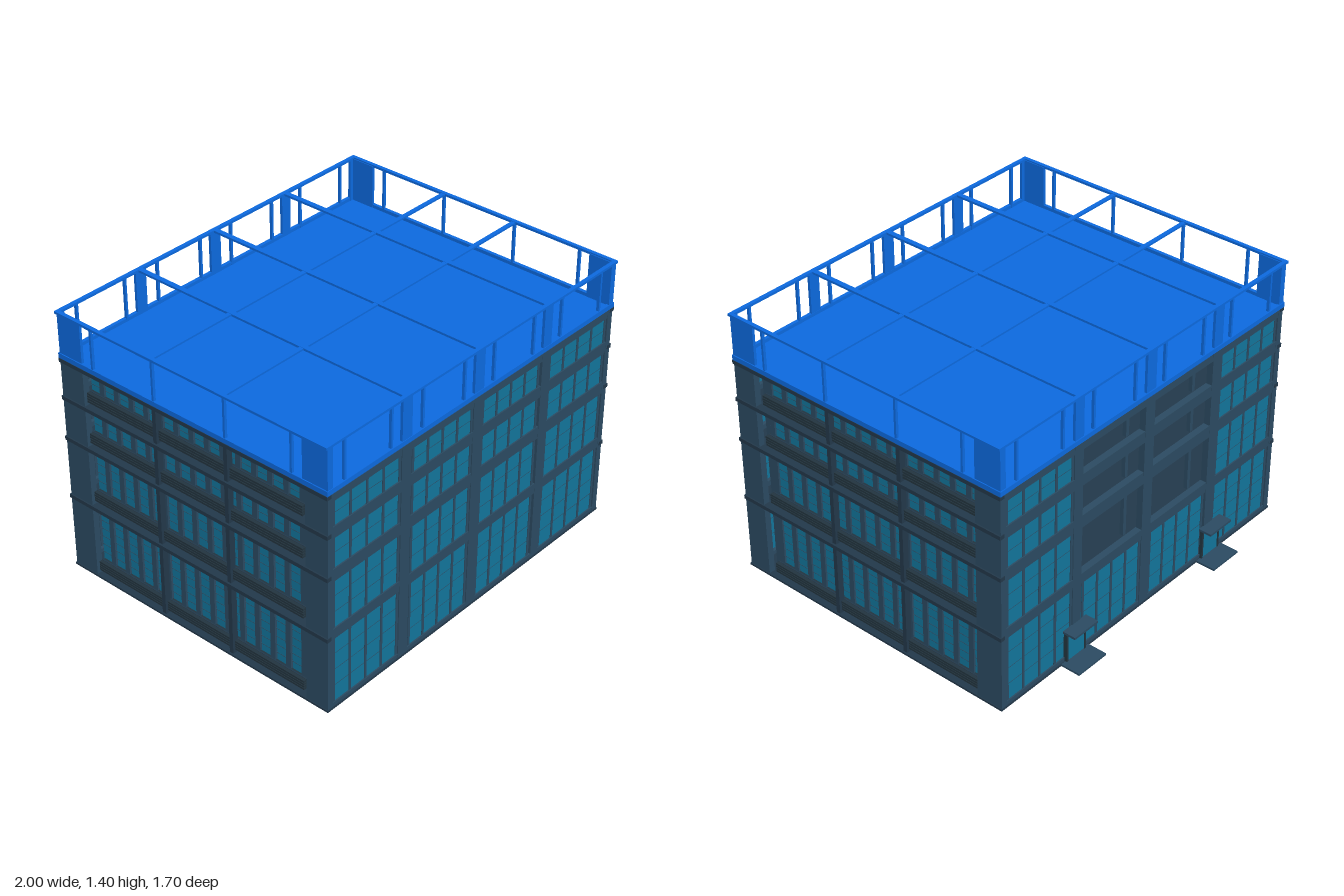
import * as THREE from 'three';

const mat = (color) => new THREE.MeshStandardMaterial({ color });
const wall = mat(0x2b4a61), trim = mat(0x22384a), dark = mat(0x22343f);
const glass = mat(0x12749a), blue = mat(0x0c69de);

// Outline of the building
const ZF = 0.845, ZB = -0.743, X = 0.99;
// Window sill and head of each storey, and the floor it stands on
const storeys = [
  { floor: 0.01, sill: 0.03, head: 0.385, rows: 4 },
  { floor: 0.412, sill: 0.44, head: 0.695, rows: 3 },
  { floor: 0.735, sill: 0.76, head: 0.92, rows: 2 },
  { floor: 0.955, sill: 0.98, head: 1.11, rows: 2 },
];
// Clear openings between the piers on the front and back
const bays = [[-0.953, -0.52], [-0.447, -0.035], [0.03, 0.445], [0.515, 0.953]];
const piers = [[-X, -0.957], [-0.52, -0.457], [-0.035, 0.03], [0.457, 0.515], [0.957, X]];
const crossZ = [0.265, -0.16];
const crossX = [-0.49, 0, 0.485];

function box(parent, name, material, x0, x1, y0, y1, z0, z1) {
  const mesh = new THREE.Mesh(new THREE.BoxGeometry(x1 - x0, y1 - y0, z1 - z0), material);
  mesh.position.set((x0 + x1) / 2, (y0 + y1) / 2, (z0 + z1) / 2);
  mesh.name = name;
  parent.add(mesh);
  return mesh;
}

function group(parent, name) {
  const g = new THREE.Group();
  g.name = name;
  parent.add(g);
  return g;
}

// Thin piers along front and back, with the corners turned into L shapes
function pierRow(parent, name, material, y0, y1, depth, frontLeg, backLeg) {
  piers.forEach(([x0, x1], i) => {
    box(parent, name, material, x0, x1, y0, y1, ZF - depth, ZF);
    box(parent, name, material, x0, x1, y0, y1, ZB, ZB + depth);
    if (i === 0 || i === 4) {
      const [a, b] = i === 0 ? [x0, x0 + depth] : [x1 - depth, x1];
      box(parent, name + 'Return', material, a, b, y0, y1, ZF - frontLeg, ZF - depth);
      box(parent, name + 'Return', material, a, b, y0, y1, ZB + depth, ZB + backLeg);
    }
  });
}

// Four-pane window with mullions and thin transoms, centred on depth z
function windowBay(parent, x0, x1, s, z) {
  const g = group(parent, 'window');
  const y0 = s.sill, y1 = s.head;
  box(g, 'glass', glass, x0, x1, y0, y1, z - 0.004, z + 0.004);
  for (let i = 0; i <= 4; i++) {
    const x = x0 + 0.007 + ((x1 - x0 - 0.014) * i) / 4;
    box(g, 'mullion', wall, x - 0.007, x + 0.007, y0, y1, z - 0.007, z + 0.007);
  }
  for (let i = 1; i < s.rows; i++) {
    const y = y0 + ((y1 - y0) * i) / s.rows;
    box(g, 'transom', wall, x0, x1, y - 0.001, y + 0.001, z - 0.005, z + 0.005);
  }
}

// Front or back wall: spandrel bands and windows
function longFacade(parent, name, isFront) {
  const g = group(parent, name);
  const outer = isFront ? ZF : ZB, dir = isFront ? -1 : 1;
  const span = (a, b) => [outer + dir * a, outer + dir * b].sort((p, q) => p - q);
  const edges = [0.01, ...storeys.flatMap((s) => [s.sill, s.head]), 1.155];
  for (let i = 0; i < edges.length; i += 2) {
    box(g, 'spandrel', wall, -0.958, 0.958, edges[i], edges[i + 1], ...span(0.001, 0.035));
  }
  storeys.forEach((s, level) => bays.forEach(([a, b], bay) => {
    const open = !isFront && level > 0 && (bay === 1 || bay === 2);
    if (!open) return windowBay(g, a, b, s, outer + dir * 0.012);
    // Open loggia bays keep only slim posts near each end
    for (const x of [a + 0.05, b - 0.05]) {
      box(g, 'loggiaPost', wall, x - 0.01, x + 0.01, s.floor, s.head + 0.02, ...span(0.06, 0.08));
    }
  }));
}

// Side wall: inset glazing strips, louvred rails and slender columns
function sideFacade(parent, name, side) {
  const g = group(parent, name);
  const sb = (n, m, x0, x1, ...r) => box(g, n, m, ...[side * x0, side * x1].sort((a, b) => a - b), ...r);
  storeys.forEach((s, level) => {
    const y0 = s.floor + 0.016, y1 = [0.39, 0.715, 0.935, 1.135][level];
    sb('backing', wall, 0.925, 0.935, y0, y1, -0.605, 0.725);
    sb('endPanel', trim, 0.915, 0.925, s.floor, y1, 0.61, 0.725);
    for (let i = 0; i < 14; i++) {
      const z = 0.652 - i * 0.092;
      sb('glassStrip', glass, 0.92, 0.94, y0 + 0.03, y1, z - 0.058, z);
      sb('fin', wall, 0.935, 0.948, y0, y1, z + 0.001, z + 0.03);
    }
    for (let i = 1; i < s.rows * 2; i++) {
      const y = y0 + ((y1 - y0) * i) / (s.rows * 2);
      sb('transom', wall, 0.935, 0.942, y - 0.001, y + 0.001, -0.605, 0.69);
    }
    for (let i = 0; i < 4; i++) {
      const y = s.floor + 0.016 + i * 0.0135;
      sb('louver', dark, 0.94, 0.974, y, y + 0.01, -0.6, 0.69);
    }
    sb('louverBack', trim, 0.95, 0.957, s.floor + 0.016, s.floor + 0.068, -0.6, 0.69);
  });
  // Ledges run the full depth and overlap the corner piers slightly
  for (const y of [0.39, 0.715, 0.935, 1.135]) {
    sb('ledge', trim, 0.92, 0.97, y, y + 0.02, ZB + 0.03, ZF - 0.03);
    sb('ledgeLip', trim, 0.97, 0.997, y, y + 0.02, ZB - 0.003, ZF + 0.003);
  }
  for (const z of crossZ) sb('column', trim, 0.955, 0.987, 0.01, 1.15, z - 0.011, z + 0.011);
}

// Ceiling beams in both directions below height y
function ceilingBeams(parent, y, material) {
  for (const x of crossX) box(parent, 'beam', material, x - 0.013, x + 0.013, y - 0.03, y, ZB + 0.04, ZF - 0.04);
  for (const z of crossZ) box(parent, 'crossBeam', material, -0.92, 0.92, y - 0.025, y, z - 0.011, z + 0.011);
}

// Floors with beams and interior columns
function structure(parent) {
  const g = group(parent, 'structure');
  box(g, 'baseSlab', trim, -0.995, 0.995, 0, 0.01, ZB - 0.003, ZF + 0.003);
  for (const { floor } of storeys.slice(1)) {
    box(g, 'floorSlab', trim, -0.92, 0.92, floor - 0.02, floor, ZB + 0.03, ZF - 0.03);
    ceilingBeams(g, floor - 0.02, trim);
  }
  ceilingBeams(g, 1.155, blue);
  for (const x of crossX) for (const z of crossZ) {
    box(g, 'innerColumn', trim, x - 0.015, x + 0.015, 0.01, 1.15, z - 0.011, z + 0.011);
  }
  pierRow(g, 'pier', wall, 0.01, 1.155, 0.033, 0.125, 0.142);
}

// Blue roof deck with parapet, posts and open beam frame
function roof(parent) {
  const g = group(parent, 'roof');
  const f = ZF + 0.003, b = ZB - 0.005;
  box(g, 'deck', blue, -0.99, 0.99, 1.155, 1.163, b, f);
  const ring = (name, y0, y1, w, x) => {
    for (const s of [-1, 1]) box(g, name, blue, s * (x - w / 2) - w / 2, s * (x - w / 2) + w / 2, y0, y1, b, f);
    box(g, name, blue, -x + w, x - w, y0, y1, f - w, f);
    box(g, name, blue, -x + w, x - w, y0, y1, b, b + w);
  };
  ring('parapet', 1.155, 1.18, 0.018, 0.995);
  ring('topRail', 1.385, 1.397, 0.02, 1);
  for (const x of crossX) box(g, 'roofBeam', blue, x - 0.013, x + 0.013, 1.385, 1.396, b, f);
  for (const z of crossZ) box(g, 'roofCrossBeam', blue, -0.99, 0.99, 1.386, 1.395, z - 0.011, z + 0.011);
  pierRow(g, 'roofPier', blue, 1.16, 1.39, 0.014, 0.14, 0.142);
  for (const x of [-0.88, -0.585, -0.38, -0.1, 0.105, 0.388, 0.59, 0.885]) {
    for (const z of [f - 0.012, b + 0.012]) box(g, 'thinPost', blue, x - 0.006, x + 0.006, 1.16, 1.39, z - 0.007, z + 0.007);
  }
  for (const z of [0.645, 0.268, -0.156, -0.533]) {
    for (const x of [-0.985, 0.985]) box(g, 'sidePost', blue, x - 0.007, x + 0.007, 1.16, 1.39, z - 0.006, z + 0.006);
  }
}

// Rear entrance: door, canopy and doorstep
function entrance(parent, x) {
  const g = group(parent, 'entrance');
  box(g, 'doorstep', wall, x - 0.095, x + 0.095, 0, 0.01, -0.85, -0.745);
  box(g, 'canopy', wall, x - 0.08, x + 0.08, 0.175, 0.187, -0.81, -0.74);
  box(g, 'door', glass, x - 0.06, x + 0.06, 0.01, 0.176, -0.751, -0.735);
  for (const dx of [-0.062, 0.062]) {
    box(g, 'doorFrame', dark, x + dx - 0.005, x + dx + 0.005, 0.01, 0.176, -0.755, -0.735);
  }
}

export function createModel() {
  const model = new THREE.Group();
  model.name = 'building';
  structure(model);
  longFacade(model, 'frontFacade', true);
  longFacade(model, 'backFacade', false);
  sideFacade(model, 'leftFacade', 1);
  sideFacade(model, 'rightFacade', -1);
  roof(model);
  for (const x of [-0.503, 0.497]) entrance(model, x);
  return model;
}
